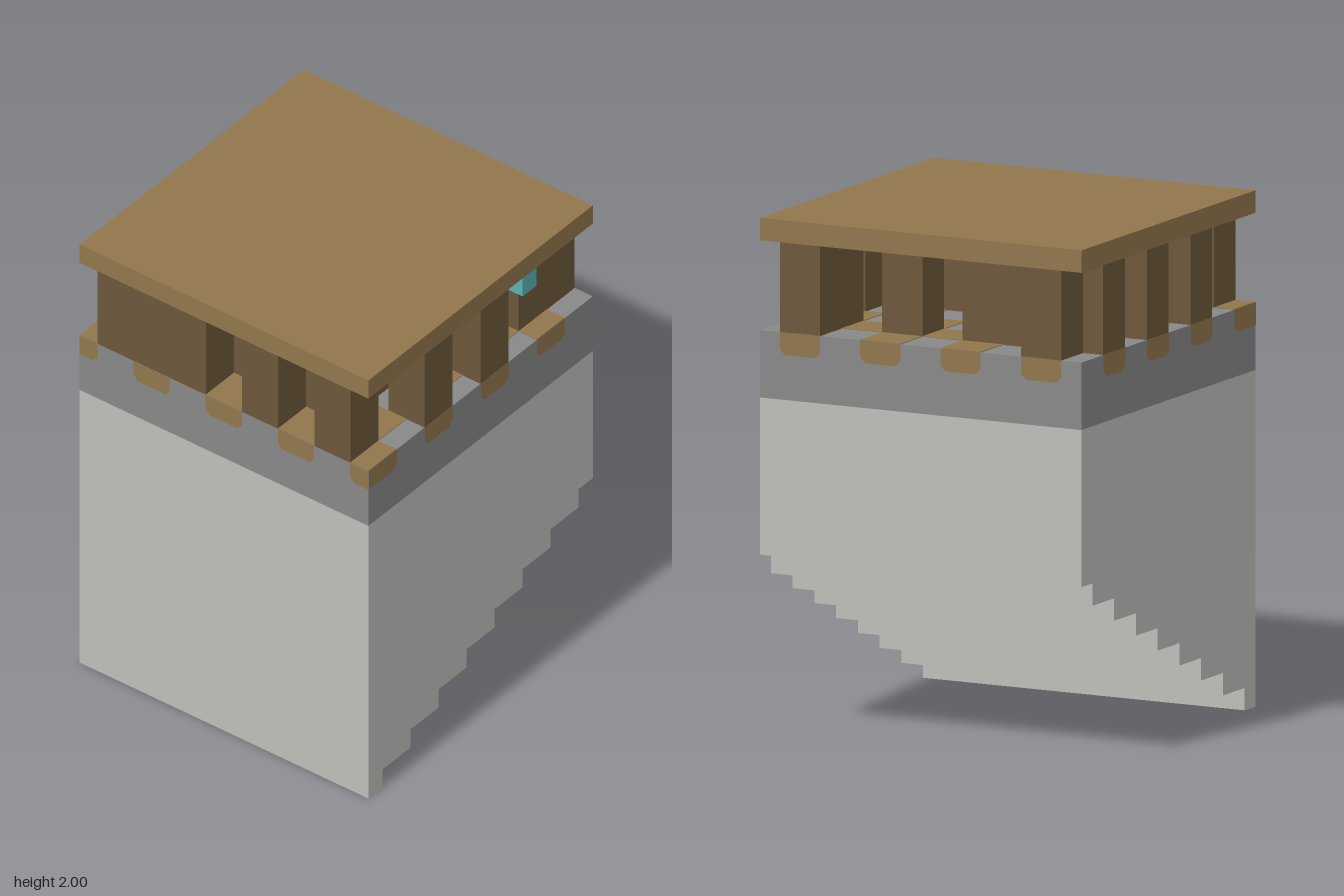
import * as THREE from 'three';

const U = 2 / 23; // one grid cell; the tower is 16 x 23 x 16 cells

const mat = (name, color) => {
  const m = new THREE.MeshStandardMaterial({ color });
  m.name = name;
  return m;
};

export function createModel() {
  const lightStone = mat('light stone', 0xbdbfba);
  const darkStone = mat('dark stone', 0x888888);
  const wood = mat('wood', 0x91764c);
  const darkWood = mat('dark wood', 0x6c583a);
  const teal = mat('teal', 0x5cb0b0);

  const model = new THREE.Group();
  const add = (name, geometry, material, parent = model) => {
    const mesh = new THREE.Mesh(geometry, material);
    mesh.name = name;
    parent.add(mesh);
    return mesh;
  };
  // Box from cell ranges; x counts from -x, z counts from the back
  const block = (name, material, x0, x1, y0, y1, z0, z1, parent) => {
    const g = new THREE.BoxGeometry((x1 - x0) * U, (y1 - y0) * U, (z1 - z0) * U);
    g.translate(((x0 + x1) / 2 - 8) * U, ((y0 + y1) / 2) * U, ((z0 + z1) / 2 - 8) * U);
    return add(name, g, material, parent);
  };

  // Stone body with a stepped underside, drawn in z and y
  const outline = new THREE.Shape();
  outline.moveTo(8 * U, 0);
  outline.lineTo(8 * U, 15 * U);
  outline.lineTo(-8 * U, 15 * U);
  outline.lineTo(-8 * U, 8 * U);
  for (let step = 8; step >= 1; step--) {
    const z = (9 - 2 * step) * U;
    outline.lineTo(z, step * U);
    outline.lineTo(z, (step - 1) * U);
  }
  const body = new THREE.ExtrudeGeometry(outline, { depth: 16 * U, bevelEnabled: false });
  body.rotateY(-Math.PI / 2).translate(8 * U, 0, 0);
  add('steppedBody', body, lightStone);

  block('stoneBand', darkStone, 0, 16, 15, 18, 0, 16);
  block('roofSlab', wood, 0, 16, 22, 23, 0, 16);

  // Pillars between floor and roof: x0, x1, z0, z1
  const pillars = new THREE.Group();
  pillars.name = 'pillars';
  model.add(pillars);
  [
    [1, 7, 14, 16], [9, 11, 14, 16], [13, 15, 14, 16], // front
    [14, 16, 10, 12], [14, 16, 6, 8], [13, 15, 0, 4], // +x side
    [9, 11, 2, 4], [3, 7, 2, 4], [1, 3, 0, 2], // back
    [0, 2, 2, 4], [0, 2, 6, 8], [0, 2, 10, 12], // -x side
    [7, 13, 8, 14], [3, 5, 4, 8], // inner walls
  ].forEach(([x0, x1, z0, z1]) => block('pillar', darkWood, x0, x1, 18, 22, z0, z1, pillars));

  block('lantern', teal, 15, 16, 21, 22, 4, 5);

  // Checkered floor tiles
  const tiles = new THREE.Group();
  tiles.name = 'floorTiles';
  model.add(tiles);
  for (let row = 0; row < 8; row++) {
    for (let x = row % 2 ? -1 : 1; x < 16; x += 4) {
      block('floorTile', wood, Math.max(x, 0), Math.min(x + 2, 16), 18, 18.03,
        row * 2, row * 2 + 2, tiles);
    }
  }

  // Tile ends hanging over the band, with cut lower corners
  const tileEnd = (centre) => {
    const a = Math.max(centre - 1, -8), b = Math.min(centre + 1, 8);
    const ca = a > -8 ? 0.25 : 0, cb = b < 8 ? 0.25 : 0;
    const pts = [[a, 18], [a, 17 + ca], [a + ca, 17], [b - cb, 17], [b, 17 + cb], [b, 18]];
    return new THREE.ShapeGeometry(
      new THREE.Shape(pts.map(([x, y]) => new THREE.Vector2(x * U, y * U))));
  };
  [
    ['front', 0, [-8, -4, 0, 4, 8]],
    ['right', Math.PI / 2, [-7, -3, 1, 5]],
    ['back', Math.PI, [-6, -2, 2, 6]],
    ['left', -Math.PI / 2, [-5, -1, 3, 7]],
  ].forEach(([side, angle, centres]) => {
    const group = new THREE.Group();
    group.name = side + 'TileEnds';
    group.rotation.y = angle;
    model.add(group);
    centres.forEach((c) => {
      add('tileEnd', tileEnd(c), wood, group).position.z = 8 * U + 0.002;
    });
  });

  return model;
}
